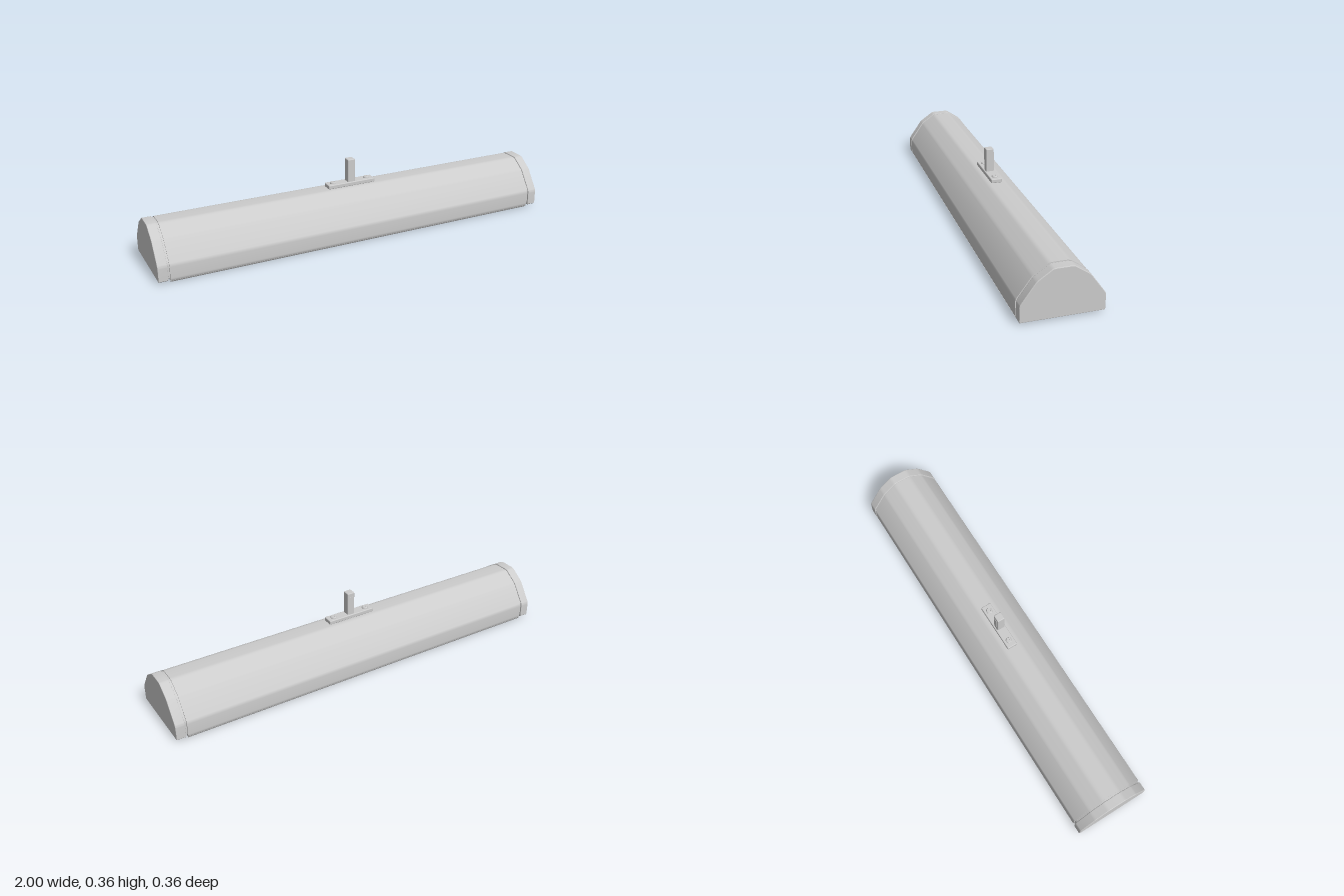
import * as THREE from 'three';
import { toCreasedNormals } from 'three/addons/utils/BufferGeometryUtils.js';
import { RoundedBoxGeometry } from 'three/addons/geometries/RoundedBoxGeometry.js';

const material = new THREE.MeshStandardMaterial({ color: 0xcccccc, side: THREE.DoubleSide });

function add(parent, name, geometry, x = 0, y = 0, z = 0) {
  const mesh = new THREE.Mesh(geometry, material);
  mesh.name = name;
  mesh.position.set(x, y, z);
  parent.add(mesh);
  return mesh;
}

// Mirrors one half of a profile given as [z, y], running from bottom to top
const mirrored = (half) => [...half, ...half.map(([z, y]) => [-z, y]).reverse()];

// Outline through [z, y] points, with the shallow corners softly rounded
function softOutline(points) {
  const corners = points.map(([z, y]) => new THREE.Vector2(z, y));
  const outline = corners.flatMap((corner, i) => {
    const toPrev = corners.at(i - 1).clone().sub(corner).normalize();
    const toNext = corners[(i + 1) % corners.length].clone().sub(corner).normalize();
    if (toPrev.dot(toNext) > -0.75) return [corner];
    const from = corner.clone().addScaledVector(toPrev, 0.012);
    const to = corner.clone().addScaledVector(toNext, 0.012);
    return new THREE.QuadraticBezierCurve(from, corner, to).getPoints(4);
  });
  return new THREE.Shape(outline);
}

// Extrudes a [z, y] outline along x, centred on x = 0
function extrudeAlongX(points, length, bevel = 0) {
  const geometry = new THREE.ExtrudeGeometry(softOutline(points), {
    depth: length - 2 * bevel, bevelEnabled: bevel > 0, bevelSize: bevel,
    bevelThickness: bevel, bevelOffset: -bevel, bevelSegments: 2,
  });
  geometry.translate(0, 0, bevel - length / 2).rotateY(Math.PI / 2);
  return toCreasedNormals(geometry, 0.3);
}

// Turns a [radius, height] profile, keeping its steps sharp
function turned(profile, segments) {
  const points = profile.map(([r, h]) => new THREE.Vector2(r, h));
  return toCreasedNormals(new THREE.LatheGeometry(points, segments), 0.5);
}

export function createModel() {
  const model = new THREE.Group();
  model.name = 'tubeLightFixture';

  // Thick-walled housing, open at the bottom
  const outer = mirrored([[0.179, 0], [0.181, 0.003], [0.181, 0.078], [0.112, 0.174], [0.042, 0.222]]);
  const inner = mirrored([[0.159, 0], [0.159, 0.071], [0.097, 0.158], [0.035, 0.2]]);
  add(model, 'housing', extrudeAlongX([...outer, ...inner.reverse()], 1.892));

  // End caps, with a narrow recessed seam against the housing
  const cap = mirrored([[0.178, 0.002], [0.182, 0.006], [0.182, 0.078], [0.113, 0.175], [0.043, 0.223]]);
  const seam = cap.map(([z, y]) => [z * 0.96, 0.006 + y * 0.95]);

  // Lamp socket: stepped rings turned around the lamp axis
  const socketProfile = [[0, 0], [0.048, 0], [0.048, 0.02], [0.042, 0.022], [0.042, 0.03],
    [0.048, 0.032], [0.048, 0.045], [0.042, 0.047], [0.042, 0.055], [0.048, 0.057],
    [0.048, 0.07], [0.044, 0.074], [0.03, 0.074]];
  const lampY = 0.09;

  for (const side of [1, -1]) {
    const end = side > 0 ? 'left' : 'right';
    add(model, end + 'EndCap', extrudeAlongX(cap, 0.045, 0.003), side * 0.9775);
    add(model, end + 'Seam', extrudeAlongX(seam, 0.012), side * 0.951);
    add(model, end + 'Socket', turned(socketProfile, 32), side * 0.946, lampY)
      .rotation.z = side * Math.PI / 2;
  }

  // Fluorescent tube
  add(model, 'lampTube', new THREE.CylinderGeometry(0.034, 0.034, 1.8, 32), 0, lampY)
    .rotation.z = Math.PI / 2;

  // Mounting plate, screws and hanging post
  const mount = new THREE.Group();
  mount.name = 'mount';
  mount.position.x = 0.008;
  model.add(mount);
  add(mount, 'mountPlate', new RoundedBoxGeometry(0.246, 0.02, 0.052, 2, 0.004), 0, 0.231, 0.001);
  const head = [[0.015, 0], [0.015, 0.004], [0.012, 0.008], [0.006, 0.008], [0.005, 0.005], [0, 0.005]];
  for (const x of [-0.089, 0.089]) {
    add(mount, 'screw', turned(head, 20), x, 0.24);
  }
  add(mount, 'post', new RoundedBoxGeometry(0.038, 0.118, 0.038, 2, 0.004), 0, 0.295, 0.002);
  add(mount, 'postRib', new THREE.BoxGeometry(0.022, 0.095, 0.004), 0, 0.287, -0.017);

  return model;
}
